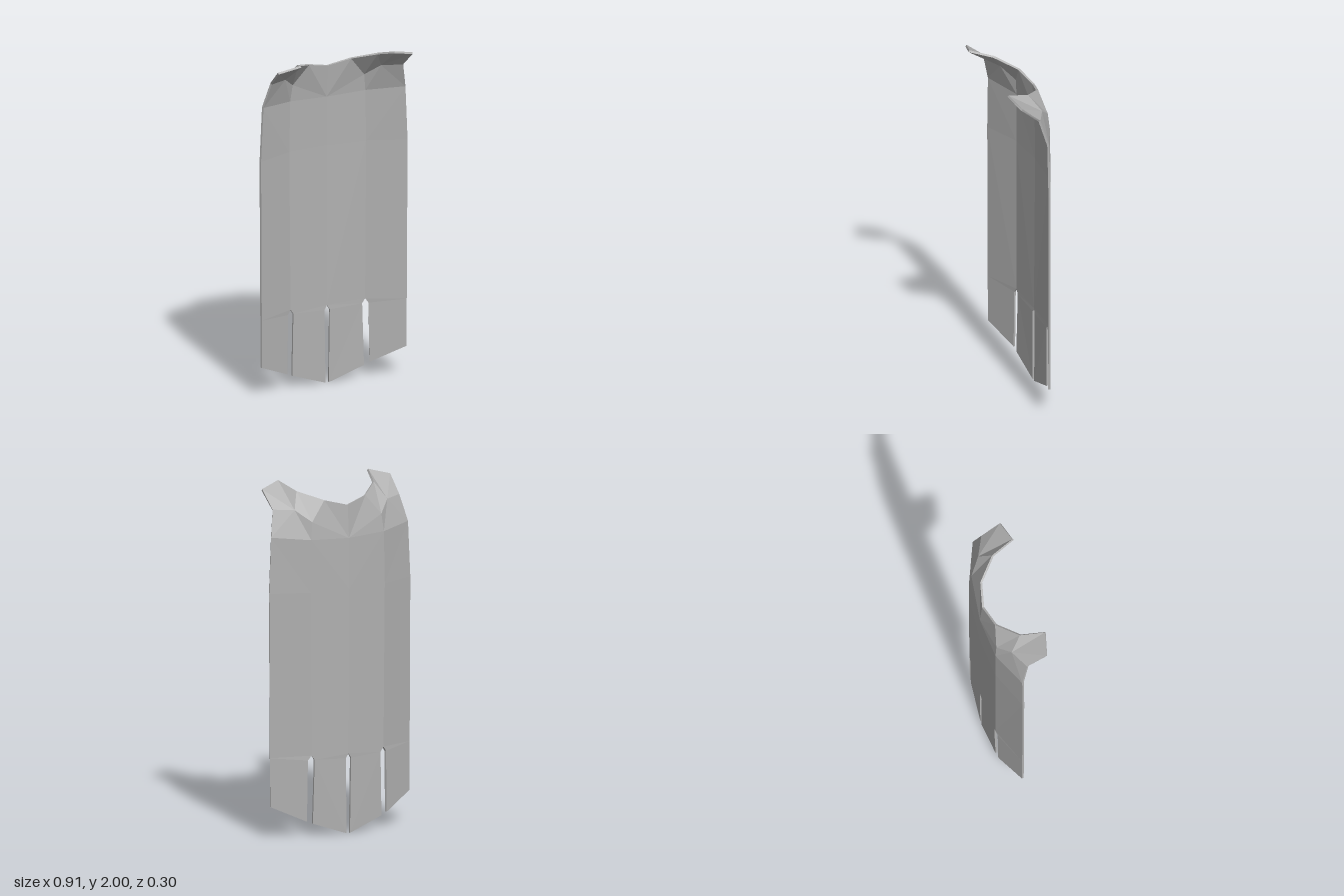
import * as THREE from 'three';

const THICKNESS = 0.012;

// Outer-surface points of the left half (x >= 0)
const POINTS = {
  // hem and slits
  slitMid: [0, 0.457, -0.14], slitMidSide: [0.017, 0.43, -0.138],
  hemMid: [0.011, 0, -0.137], hemIn: [0.222, 0.075, -0.124],
  slitIn: [0.213, 0.44, -0.129], slitTop: [0.233, 0.467, -0.128], slitOut: [0.253, 0.44, -0.122],
  hemOut: [0.258, 0.09, -0.12], hemSide: [0.45, 0.18, -0.043], slitSide: [0.452, 0.46, -0.043],
  // widest row
  midC: [0, 1.4, -0.147], midK: [0.24, 1.4, -0.13], midE: [0.457, 1.4, -0.042],
  // fold where the shoulders begin
  foldC: [0, 1.69, -0.144], foldK: [0.235, 1.7, -0.129], foldE: [0.443, 1.72, -0.04],
  // shoulders and neckline
  bladeIn: [0.224, 1.8, -0.12], bladeOut: [0.3, 1.865, -0.055],
  armEdge: [0.41, 1.87, 0], tipOut: [0.415, 1.967, 0.11], tipIn: [0.292, 2, 0.143],
  neckSide: [0.25, 1.957, 0.01], neckBack: [0.133, 1.912, -0.098], neckMid: [0, 1.877, -0.13],
};

// Panels, counter-clockwise seen from the front
const PANELS = [
  'hemMid hemIn slitIn slitMidSide', 'slitMid slitMidSide slitIn slitTop',
  'hemOut hemSide slitSide slitOut', 'slitOut slitSide slitTop',
  'slitMid slitTop midK midC', 'slitTop slitSide midE midK',
  'midC midK foldK foldC', 'midK midE foldE foldK',
  'foldC foldK bladeIn neckBack neckMid', 'foldK foldE bladeOut bladeIn',
  'foldE armEdge bladeOut', 'bladeIn bladeOut neckSide neckBack',
  'bladeOut armEdge tipOut', 'bladeOut tipOut tipIn', 'bladeOut tipIn neckSide',
].map((panel) => panel.split(' '));

// Closed, faceted shell of even thickness, mirrored across x = 0
function capeGeometry() {
  const outer = [];
  const left = {};
  const right = {};
  for (const [name, [x, y, z]] of Object.entries(POINTS)) {
    left[name] = right[name] = outer.push(new THREE.Vector3(x, y, z)) - 1;
    if (x > 0) right[name] = outer.push(new THREE.Vector3(-x, y, z)) - 1;
  }

  const tris = [];
  for (const panel of PANELS) {
    for (let i = 1; i < panel.length - 1; i++) {
      const [a, b, c] = [panel[0], panel[i], panel[i + 1]];
      tris.push([left[a], left[b], left[c]], [right[a], right[c], right[b]]);
    }
  }

  // Inner surface: each point pushed along its average normal
  const normals = outer.map(() => new THREE.Vector3());
  for (const tri of tris) {
    const n = new THREE.Triangle(...tri.map((i) => outer[i])).getNormal(new THREE.Vector3());
    tri.forEach((i) => normals[i].add(n));
  }
  const inner = outer.map((p, i) => p.clone().addScaledVector(normals[i].normalize(), THICKNESS));

  const positions = [];
  const face = (...corners) => corners.forEach((p) => positions.push(p.x, p.y, p.z));
  const edges = new Set();
  for (const [a, b, c] of tris) {
    face(inner[a], inner[b], inner[c]);
    face(outer[a], outer[c], outer[b]);
    edges.add(`${a},${b}`).add(`${b},${c}`).add(`${c},${a}`);
  }

  // Rim along every open edge
  for (const edge of edges) {
    const [a, b] = edge.split(',').map(Number);
    if (edges.has(`${b},${a}`)) continue;
    face(inner[b], inner[a], outer[a]);
    face(inner[b], outer[a], outer[b]);
  }

  const geometry = new THREE.BufferGeometry();
  geometry.setAttribute('position', new THREE.Float32BufferAttribute(positions, 3));
  geometry.computeVertexNormals();
  return geometry;
}

export function createModel() {
  const group = new THREE.Group();
  group.name = 'capeModel';
  const cloth = new THREE.MeshStandardMaterial({ color: 0xb0b0b0 });
  cloth.name = 'greyCloth';
  const cape = new THREE.Mesh(capeGeometry(), cloth);
  cape.name = 'cape';
  group.add(cape);
  return group;
}
